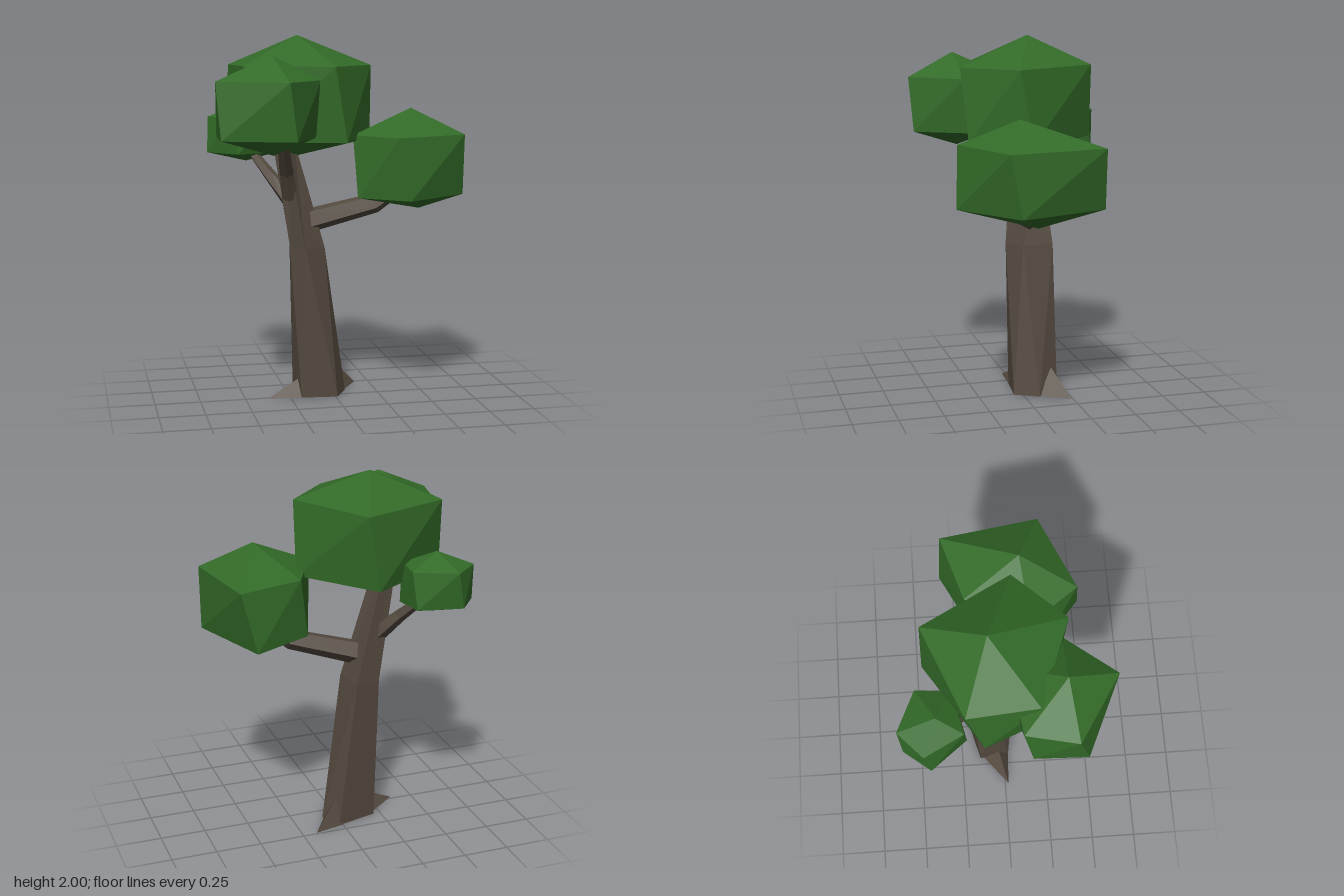
import * as THREE from 'three';
import { ConvexGeometry } from 'three/addons/geometries/ConvexGeometry.js';

const bark = new THREE.MeshStandardMaterial({ color: 0x554b40, flatShading: true });
const leaf = new THREE.MeshStandardMaterial({ color: 0x336b28, flatShading: true });

const vec = (p) => new THREE.Vector3(...p);

// A horizontal ring of [x, z] corners at height y
const level = (y, corners) => corners.map(([x, z]) => new THREE.Vector3(x, y, z));

// Skin over rings with equal corner counts, closed at both ends
function loft(rings) {
  const pos = [];
  const tri = (...pts) => pts.forEach((p) => pos.push(p.x, p.y, p.z));
  const n = rings[0].length;
  for (let r = 0; r < rings.length - 1; r++) {
    const a = rings[r], b = rings[r + 1];
    for (let i = 0; i < n; i++) {
      const j = (i + 1) % n;
      tri(a[i], b[i], a[j]);
      tri(a[j], b[i], b[j]);
    }
  }
  const first = rings[0], last = rings[rings.length - 1];
  for (let i = 1; i < n - 1; i++) {
    tri(first[0], first[i], first[i + 1]);
    tri(last[0], last[i + 1], last[i]);
  }
  const g = new THREE.BufferGeometry();
  g.setAttribute('position', new THREE.Float32BufferAttribute(pos, 3));
  g.computeVertexNormals();
  return g;
}

// Five-sided tapering branch through the given points
function branch(points, radii) {
  const pts = points.map(vec);
  const rings = pts.map((p, k) => {
    const d = pts[Math.min(k + 1, pts.length - 1)].clone().sub(pts[Math.max(k - 1, 0)]).normalize();
    const u = new THREE.Vector3(0, 1, 0).addScaledVector(d, -d.y).normalize();
    const v = u.clone().cross(d);
    return Array.from({ length: 5 }, (_, i) => {
      const t = (i / 5) * Math.PI * 2 + 0.5;
      return p.clone().addScaledVector(u, radii[k] * Math.cos(t)).addScaledVector(v, radii[k] * Math.sin(t));
    });
  });
  return loft(rings);
}

// Faceted leaf clump: top point, two five-cornered rings, bottom point
const clump = (top, yUpper, upper, yLower, lower, bottom) =>
  new ConvexGeometry([vec(top), ...level(yUpper, upper), ...level(yLower, lower), vec(bottom)]);

export function createModel() {
  const tree = new THREE.Group();
  tree.name = 'tree';
  const add = (name, geometry, material) => {
    const mesh = new THREE.Mesh(geometry, material);
    mesh.name = name;
    tree.add(mesh);
  };

  // Leaning trunk
  add('trunk', loft([
    level(0, [[0.08, -0.08], [0.01, 0.05], [-0.19, 0.03], [-0.21, -0.14], [0.02, -0.2]]),
    level(0.84, [[-0.05, -0.02], [-0.17, 0.05], [-0.24, -0.04], [-0.22, -0.17], [-0.08, -0.2]]),
    level(1.43, [[-0.21, -0.07], [-0.26, -0.01], [-0.33, -0.05], [-0.32, -0.13], [-0.24, -0.15]]),
  ]), bark);

  // Pointed roots
  add('rightRoot', new ConvexGeometry(
    [[-0.38, 0, 0.02], [-0.19, 0.1, -0.03], [-0.17, 0, 0.03], [-0.18, 0, -0.14]].map(vec)), bark);
  add('leftRoot', new ConvexGeometry(
    [[0.17, 0, -0.24], [0.03, 0.15, -0.16], [0.07, 0, -0.08], [0.0, 0, -0.2]].map(vec)), bark);

  // Branches
  add('leftBranch', branch([[-0.14, 0.98, -0.07], [0.23, 1.08, 0.0], [0.36, 1.16, 0.05]], [0.07, 0.058, 0.03]), bark);
  add('backBranch', branch([[-0.23, 1.1, -0.12], [-0.32, 1.22, -0.21], [-0.43, 1.38, -0.36]], [0.05, 0.036, 0.022]), bark);
  add('frontBranch', branch([[-0.24, 1.12, -0.03], [-0.27, 1.26, 0.04], [-0.32, 1.46, 0.2]], [0.045, 0.04, 0.03]), bark);

  // Leaf clumps
  add('crown', clump([-0.19, 2, -0.08],
    1.84, [[-0.06, -0.41], [0.19, 0.06], [-0.06, 0.33], [-0.52, 0.16], [-0.55, -0.21]],
    1.44, [[-0.12, -0.42], [0.2, -0.01], [0.01, 0.3], [-0.46, 0.18], [-0.58, -0.12]],
    [-0.19, 1.35, -0.04]), leaf);
  add('leftClump', clump([0.4, 1.61, 0.12],
    1.47, [[0.59, -0.29], [0.67, 0.24], [0.26, 0.42], [0.07, 0.16], [0.23, -0.18]],
    1.14, [[0.51, -0.31], [0.68, 0.18], [0.32, 0.44], [0.08, 0.24], [0.18, -0.14]],
    [0.47, 1.05, 0.04]), leaf);
  add('frontClump', clump([-0.39, 1.9, 0.3],
    1.77, [[-0.69, 0.34], [-0.34, 0.56], [-0.13, 0.29], [-0.28, 0.02], [-0.63, 0.07]],
    1.47, [[-0.67, 0.4], [-0.3, 0.54], [-0.14, 0.24], [-0.35, 0.02], [-0.66, 0.12]],
    [-0.38, 1.38, 0.28]), leaf);
  add('backClump', clump([-0.46, 1.61, -0.36],
    1.54, [[-0.5, -0.56], [-0.28, -0.46], [-0.3, -0.27], [-0.53, -0.22], [-0.64, -0.43]],
    1.34, [[-0.54, -0.54], [-0.3, -0.49], [-0.27, -0.32], [-0.5, -0.21], [-0.65, -0.4]],
    [-0.43, 1.29, -0.38]), leaf);

  return tree;
}
